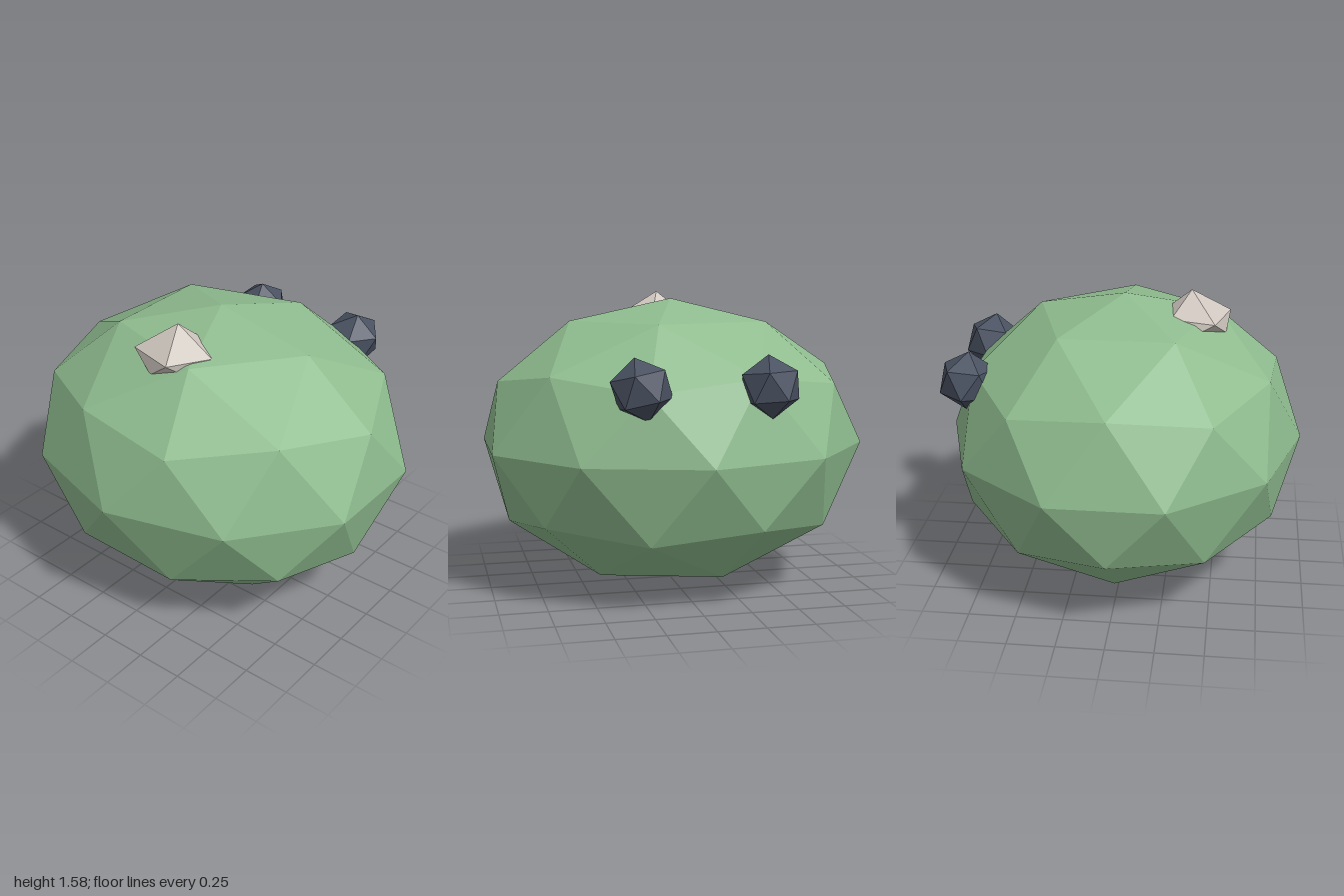
import * as THREE from 'three';
import { ConvexGeometry } from 'three/addons/geometries/ConvexGeometry.js';

const mat = (name, color) => {
  const m = new THREE.MeshStandardMaterial({ color, flatShading: true });
  m.name = name;
  return m;
};

// Icosphere with a corner pointing straight up and an upper-ring corner on +x
const poleUpIco = (radius, detail) =>
  new THREE.IcosahedronGeometry(radius, detail).rotateZ(-Math.atan(2 / (1 + Math.sqrt(5))));

export function createModel() {
  const group = new THREE.Group();
  const green = mat('leaf green', 0x8fbc8f);
  const slate = mat('dark slate', 0x4a5262);
  const stone = mat('pale stone', 0xd0c8c0);

  const add = (name, geometry, material) => {
    const mesh = new THREE.Mesh(geometry, material);
    mesh.name = name;
    group.add(mesh);
    return mesh;
  };

  // Squashed faceted body
  add('body', poleUpIco(1, 1).scale(1.051, 0.778, 0.957), green).position.y = 0.778;

  // Two dark knobs high on the back, each tilted a little differently
  for (const [name, x, tiltX, tiltZ] of [['leftKnob', 0.325, 0.12, -0.2], ['rightKnob', -0.318, 0.08, -0.06]]) {
    const knob = add(name, poleUpIco(0.158, 0), slate);
    knob.position.set(x, 1.15, -0.795);
    knob.rotation.set(tiltX, 0, tiltZ);
  }

  // Irregular pale nub on the upper front: peak, upper ring, lower ring, buried base
  const nub = [
    [0, 1.585, 0.35],
    [0.215, 1.455, 0.35], [0.05, 1.47, 0.22], [-0.14, 1.46, 0.25], [-0.18, 1.45, 0.48], [0.09, 1.455, 0.555],
    [0.13, 1.39, 0.47], [-0.03, 1.365, 0.535], [-0.18, 1.39, 0.37], [-0.08, 1.36, 0.26], [0.12, 1.37, 0.28],
    [0, 1.26, 0.37],
  ].map((p) => new THREE.Vector3(...p));
  add('nub', new ConvexGeometry(nub), stone);

  return group;
}
